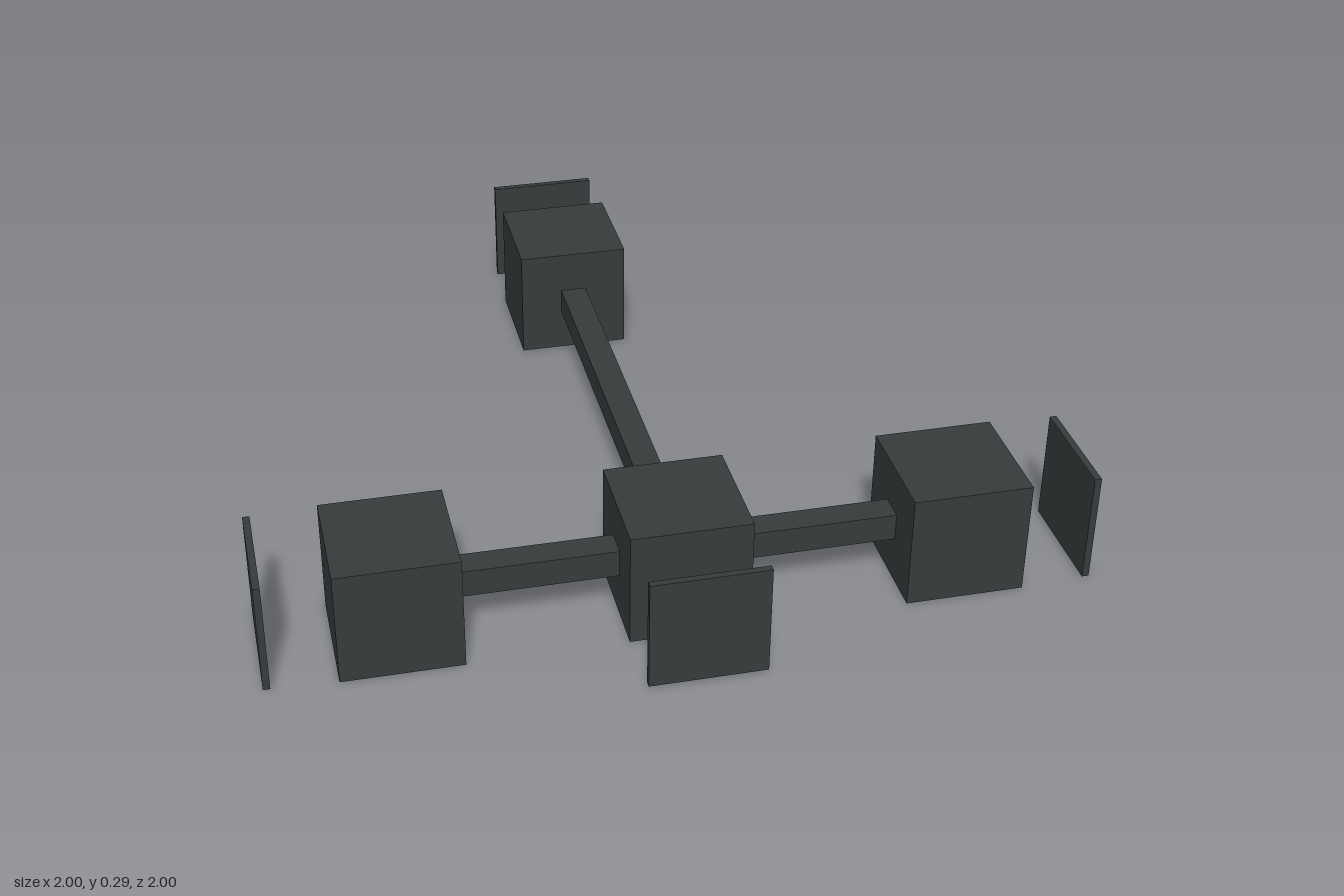
import * as THREE from 'three';

const CUBE = 0.293, PLATE = 0.284, THIN = 0.017, BAR = 0.07;
const REACH = 0.68;   // distance of the cubes from the centre
const EDGE = 0.9915;  // distance of the plates from the centre
const MID = CUBE / 2; // height of every part's centre

export function createModel() {
  const group = new THREE.Group();
  const darkGrey = new THREE.MeshStandardMaterial({ color: 0x363d3d });
  darkGrey.name = 'darkGrey';

  const box = (name, w, h, d, x, z) => {
    const mesh = new THREE.Mesh(new THREE.BoxGeometry(w, h, d), darkGrey);
    mesh.name = name;
    mesh.position.set(x, MID, z);
    group.add(mesh);
  };

  // Cubes: hub at the front, one at the end of each arm
  box('hubCube', CUBE, CUBE, CUBE, 0, REACH);
  box('backCube', CUBE, CUBE, CUBE, 0, -REACH);

  // Long bar from the hub to the back cube
  box('longBar', BAR, BAR, 2 * REACH - CUBE, 0, 0);

  // Detached plates facing the front and back cubes
  box('frontPlate', PLATE, PLATE, THIN, 0, EDGE);
  box('backPlate', PLATE, PLATE, THIN, 0, -EDGE);

  // Mirrored side arms
  for (const [side, s] of [['left', 1], ['right', -1]]) {
    box(side + 'Cube', CUBE, CUBE, CUBE, s * REACH, REACH);
    box(side + 'Bar', REACH - CUBE, BAR, BAR, s * REACH / 2, REACH);
    box(side + 'Plate', THIN, PLATE, PLATE, s * EDGE, REACH);
  }
  return group;
}
